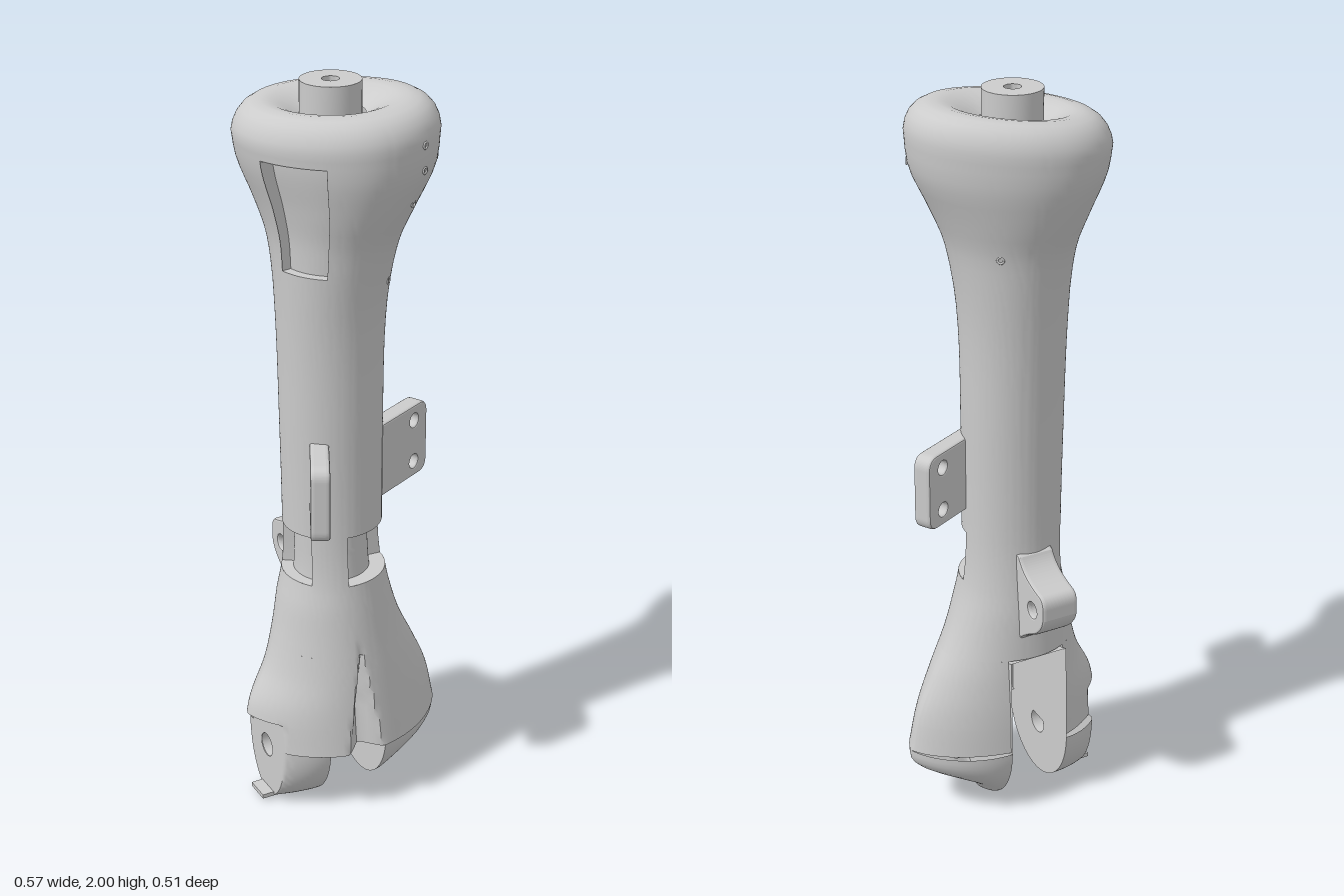
import * as THREE from 'three';
import { toCreasedNormals } from 'three/addons/utils/BufferGeometryUtils.js';

const CX = -0.035, IN_R = 0.05, IN_L = -0.12, FLAT = -0.235, RAD = Math.PI / 180;
const mat = new THREE.MeshStandardMaterial({ color: 0xcccccc, side: THREE.DoubleSide });
const clamp = THREE.MathUtils.clamp, sstep = THREE.MathUtils.smoothstep;
const spow = (v, e) => Math.sign(v) * Math.pow(Math.abs(v), e);

// Limb outline: height, right extent, left extent, back depth, front depth
const OUTLINE = [
  [0.19, -0.3, 0.28, 0.157, 0.207], [0.3, -0.285, 0.255, 0.155, 0.193], [0.4, -0.235, 0.21, 0.15, 0.18],
  [0.5, -0.205, 0.16, 0.145, 0.165], [0.6, -0.185, 0.125, 0.14, 0.15], [0.68, -0.168, 0.108, 0.133, 0.138],
  [0.8, -0.167, 0.1, 0.125, 0.13], [1.1, -0.172, 0.1, 0.127, 0.13], [1.4, -0.178, 0.105, 0.14, 0.14],
  [1.6, -0.19, 0.13, 0.165, 0.175], [1.7, -0.215, 0.165, 0.2, 0.212], [1.8, -0.25, 0.207, 0.23, 0.243],
  [1.88, -0.262, 0.217, 0.236, 0.25]];

// Smooth interpolation of a table column at height y
function at(table, y, c) {
  const n = table.length - 1;
  let i = 0;
  while (i < n - 1 && y > table[i + 1][0]) i++;
  const slope = k => {
    const a = table[Math.max(k - 1, 0)], b = table[Math.min(k + 1, n)];
    return (b[c] - a[c]) / (b[0] - a[0]);
  };
  const [p, q] = [table[i], table[i + 1]], h = q[0] - p[0], t = clamp((y - p[0]) / h, 0, 1);
  const t2 = t * t, t3 = t2 * t;
  return p[c] * (2 * t3 - 3 * t2 + 1) + q[c] * (3 * t2 - 2 * t3) + h * (slope(i) * (t3 - 2 * t2 + t) + slope(i + 1) * (t3 - t2));
}

// Point on the limb at azimuth a (0 = front, + toward the left side), scaled by t about the axis
function limb(a, y, t = 1) {
  const yy = Math.min(y, 1.88), s = Math.sin(a), c = Math.cos(a);
  const skew = 1 + sstep(yy, 1.45, 1.85) * (0.1 * Math.sin(2 * a) - 0.02);
  const e = 1 + 0.4 * clamp((0.6 - y) / 0.3, 0, 1);
  let x = CX + t * skew * s * (s > 0 ? at(OUTLINE, yy, 2) - CX : CX - at(OUTLINE, yy, 1));
  let z = t * skew * spow(c, e) * at(OUTLINE, yy, c > 0 ? 4 : 3);
  const hw = 0.05 * (0.5 - y) / 0.3;
  if (hw > 0 && c > 0) z -= 0.06 * Math.min(1, hw / 0.03) * Math.max(0, 1 - Math.abs(x - CX) / hw);
  if (y < 0.27) x = Math.max(x, FLAT);
  return [x, y + 0.07 * (x - CX) * sstep(y, 1.78, 1.92), z];
}

// Surface from a grid of points; cells can be left out
function sheet(rows, cols, fn, skip = () => false, crease = 0.7) {
  const pos = [], idx = [];
  for (let i = 0; i <= rows; i++) for (let j = 0; j <= cols; j++) pos.push(...fn(i, j));
  for (let i = 0; i < rows; i++) for (let j = 0; j < cols; j++) {
    if (skip(i, j)) continue;
    const a = i * (cols + 1) + j, b = a + cols + 1;
    idx.push(a, a + 1, b, a + 1, b + 1, b);
  }
  const g = new THREE.BufferGeometry();
  g.setAttribute('position', new THREE.Float32BufferAttribute(pos, 3));
  g.setIndex(idx);
  return toCreasedNormals(g, crease);
}

const range = (a, b, n) => Array.from({ length: n + 1 }, (_, i) => a + (b - a) * i / n);

export function createModel() {
  const model = new THREE.Group();
  const add = (name, geo, parent = model) => {
    const m = new THREE.Mesh(geo, mat);
    m.name = name;
    parent.add(m);
    return m;
  };

  // Openings: azimuth range in degrees, height range, depth scale
  const openings = [
    { name: 'frontWindow', a0: -9, a1: 87, y0: 0.67, y1: 0.81, d: 0.7, lip: 1 },
    { name: 'sideWindow', a0: -126, a1: -51, y0: 0.67, y1: 0.81, d: 0.76, lip: 1 },
    { name: 'upperSlot', a0: -81, a1: -33, y0: 1.54, y1: 1.84, d: 0.84, lip: 1.015 }];

  // Upper shell with rolled crown
  const rows = [...range(0.47, 0.67, 8), ...range(0.67, 0.81, 3).slice(1), ...range(0.81, 1.54, 14).slice(1),
    ...range(1.54, 1.84, 10).slice(1), 1.86, 1.88].map(y => [y, 1]);
  rows.push([1.9, 0.985], [1.92, 0.95], [1.938, 0.89], [1.95, 0.81], [1.955, 0.7], [1.952, 0.6], [1.942, 0.5], [1.93, 0.41], [1.915, 0.32]);
  add('upperShell', sheet(rows.length - 1, 120, (i, j) => limb((j * 3 - 180) * RAD, ...rows[i]), (i, j) => {
    const y = (rows[i][0] + rows[i + 1][0]) / 2, a = j * 3 - 178.5;
    return openings.some(o => a > o.a0 && a < o.a1 && y > o.y0 && y < o.y1);
  }, 0.9));

  // Recess walls and floors
  for (const o of openings) {
    const n = 16;
    const edge = [...range(0, 1, n).map(t => [t, 0]), ...range(0, 1, n).map(t => [1, t]),
      ...range(1, 0, n).map(t => [t, 1]), ...range(1, 0, n).map(t => [0, t])];
    const p = (u, v, s) => limb((o.a0 + (o.a1 - o.a0) * u) * RAD, o.y0 + (o.y1 - o.y0) * v, s);
    add(o.name + 'Frame', sheet(1, edge.length - 1, (i, j) => p(...edge[j], i ? o.d : o.lip)));
    add(o.name + 'Floor', sheet(n, n, (i, j) => p(j / n, i / n, o.d)));
  }

  // Lower shell, open at the back for the joint slot
  const lowY = [...range(0.19, 0.268, 4), ...range(0.272, 0.47, 12)];
  const backAngle = (y, f) => {
    const a1 = Math.PI - Math.asin((IN_R - CX) / (at(OUTLINE, y, 2) - CX));
    const a0 = -Math.PI + Math.asin((CX - IN_L) / (CX - at(OUTLINE, y, 1)));
    return a0 + (a1 - a0) * f;
  };
  add('lowerShell', sheet(lowY.length - 1, 140, (i, j) => limb(backAngle(lowY[i], j / 140), lowY[i])));

  // Joint slot: ceiling and underside of the front wall
  const notch = [[0.14, 0.19], [0.14, 0.28], [0.05, 0.37], [-0.06, 0.44], [-0.148, 0.47]];
  add('slotCeiling', sheet(notch.length - 1, 1, (i, j) => [j ? IN_R : IN_L, notch[i][1], notch[i][0]]));
  const rim = range(-90, 90, 90).map(a => limb(a * RAD, 0.19)).filter(p => p[2] > 0.13);
  add('frontWallUnderside', new THREE.ShapeGeometry(new THREE.Shape(rim.map(p => new THREE.Vector2(p[0], -p[2]))))
    .rotateX(-Math.PI / 2).translate(0, 0.19, 0));

  // Fork prongs: domed left one, flat-faced right one, with axle holes
  const halfDepth = y => 0.157 * Math.sqrt(Math.max(0, 1 - ((0.19 - y) / 0.19) ** 2));
  const dome = [[0, 0.07], [0.03, 0.092], [0.06, 0.125], [0.1, 0.2], [0.13, 0.252], [0.16, 0.277], [0.19, 0.28]];
  const prongY = range(0, 1, 20).map(t => 0.19 * (1 - Math.cos(t * Math.PI / 2)));
  const HOLE_Y = 0.155, HOLE_R = 0.033;
  const prong = (inner, outer) => (i, j) => {
    const y = prongY[i], t = (j / 48 - 0.5) * Math.PI;
    return [Math.max(FLAT, inner + (outer(y) - inner) * Math.cos(t)), y, halfDepth(y) * spow(Math.sin(t), 1.4)];
  };
  const leftPt = prong(IN_R, y => at(dome, y, 1)), rightPt = prong(IN_L, () => -0.3);
  add('leftProng', sheet(20, 48, leftPt));
  add('rightProng', sheet(20, 48, rightPt, (i, j) => {
    const p = rightPt(i, j), q = rightPt(i + 1, j + 1);
    return Math.hypot((p[1] + q[1]) / 2 - HOLE_Y, (p[2] + q[2]) / 2) < 0.045;
  }));
  add('rightProngHoleFace', new THREE.RingGeometry(HOLE_R, 0.066, 32).rotateY(-Math.PI / 2).translate(FLAT - 0.001, HOLE_Y, 0));
  const cheek = new THREE.Shape([
    [-0.155, 0.3], ...[...prongY].reverse().map(y => [-halfDepth(y), y]),
    ...prongY.slice(1).map(y => [halfDepth(y), y]), ...notch].map(p => new THREE.Vector2(...p)));
  cheek.holes.push(new THREE.Path().absarc(0, HOLE_Y, HOLE_R, 0, Math.PI * 2, true));
  for (const [side, x, len, dir] of [['left', IN_R, 0.1, 1], ['right', IN_L, 0.115, -1]]) {
    add(side + 'Cheek', new THREE.ShapeGeometry(cheek, 24).rotateY(-Math.PI / 2).translate(x, 0, 0));
    add(side + 'AxleHole', new THREE.CylinderGeometry(HOLE_R, HOLE_R, len, 32, 1, true)
      .rotateZ(Math.PI / 2).translate(x + dir * len / 2, HOLE_Y, 0));
  }
  add('rightProngLip', new THREE.BoxGeometry(0.04, 0.012, 0.07).translate(-0.248, 0.014, 0));

  // Rear lug with cross hole
  const lugShape = new THREE.Shape().moveTo(-0.09, 0.79).lineTo(-0.125, 0.77);
  lugShape.quadraticCurveTo(-0.15, 0.725, -0.23, 0.705);
  lugShape.quadraticCurveTo(-0.25, 0.7, -0.25, 0.675).lineTo(-0.25, 0.645);
  lugShape.quadraticCurveTo(-0.245, 0.615, -0.21, 0.59).quadraticCurveTo(-0.15, 0.56, -0.125, 0.53).lineTo(-0.09, 0.53);
  lugShape.holes.push(new THREE.Path().absarc(-0.198, 0.652, 0.027, 0, Math.PI * 2, true));
  const bevel = { bevelThickness: 0.01, bevelSize: 0.006, bevelSegments: 3, curveSegments: 16 };
  add('rearLug', new THREE.ExtrudeGeometry(lugShape, { depth: 0.085, ...bevel })
    .rotateY(-Math.PI / 2).translate(0.0075, 0, 0));

  // Mounting tabs with two holes each
  const L = 0.2, H = 0.098, R = 0.03;
  const tabShape = new THREE.Shape().moveTo(0, -H).lineTo(L - R, -H).quadraticCurveTo(L, -H, L, -H + R)
    .lineTo(L, H - R).quadraticCurveTo(L, H, L - R, H).lineTo(0, H);
  for (const y of [-0.06, 0.06]) tabShape.holes.push(new THREE.Path().absarc(L - 0.055, y, 0.024, 0, Math.PI * 2, true));
  const tabGeo = new THREE.ExtrudeGeometry(tabShape, { depth: 0.03, ...bevel }).translate(0, 0, -0.015);
  for (const [name, x, z, dx, dz] of [['rightTab', -0.1, 0.055, -0.45, 0.9], ['leftTab', 0.07, 0.05, 0.9, -0.45]]) {
    const tab = add(name, tabGeo);
    tab.position.set(x, 0.98, z);
    tab.rotation.y = Math.atan2(-dz, dx);
  }

  // Neck sleeve with bore
  const neck = [[0.022, 1.85], [0.022, 2], [0.077, 2], [0.077, 1.9]].map(p => new THREE.Vector2(...p));
  add('neck', toCreasedNormals(new THREE.LatheGeometry(neck, 40), 0.6)).position.x = CX;

  // Small screw holes around the shell
  for (const [y, a] of [[1.87, 30], [1.81, 32], [1.81, 60], [1.72, 35], [1.5, 43], [1.61, 140]]) {
    const [x, py, z] = limb(a * RAD, y);
    const hole = add('screwHole', new THREE.TorusGeometry(0.008, 0.003, 6, 16));
    hole.position.set(x, py, z);
    hole.rotation.y = a * RAD;
  }
  return model;
}
